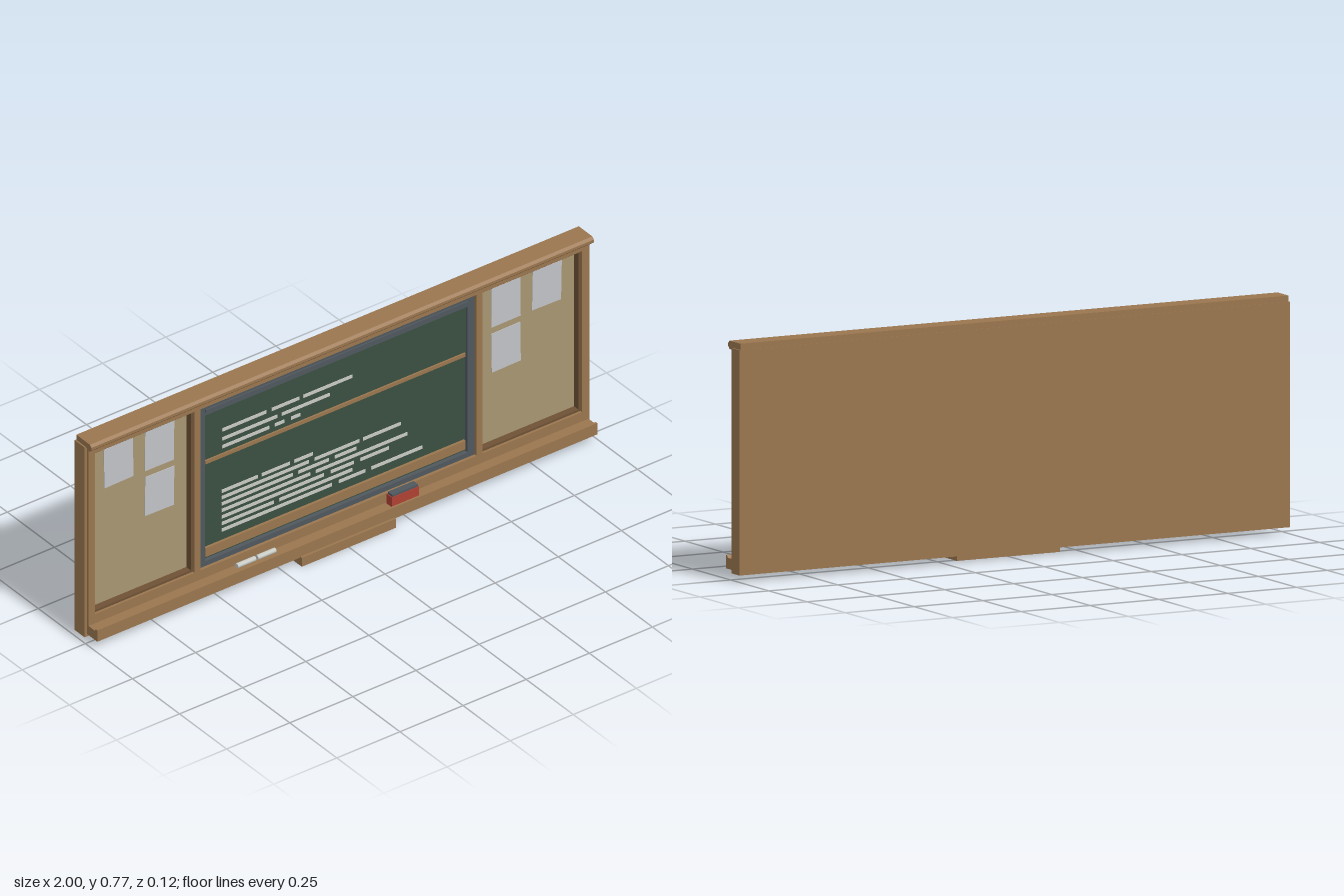
import * as THREE from 'three';

export function createModel() {
  const model = new THREE.Group();
  const mat = (name, color) => {
    const m = new THREE.MeshStandardMaterial({ color });
    m.name = name;
    return m;
  };
  const wood = mat('wood', 0x9a764e);
  const darkWood = mat('dark wood', 0x6e5236);
  const cork = mat('cork', 0xa89672);
  const slate = mat('green slate', 0x3a5040);
  const metal = mat('grey metal', 0x50585e);
  const paper = mat('paper', 0xc0c3c6);
  const chalk = mat('chalk', 0xc8cac4);
  const red = mat('red', 0xb04034);

  const add = (name, geometry, material, parent = model) => {
    const mesh = new THREE.Mesh(geometry, material);
    mesh.name = name;
    parent.add(mesh);
    return mesh;
  };
  // Box given by its limits on each axis
  const box = (name, x0, x1, y0, y1, z0, z1, material, parent) => {
    const mesh = add(name, new THREE.BoxGeometry(x1 - x0, y1 - y0, z1 - z0), material, parent);
    mesh.position.set((x0 + x1) / 2, (y0 + y1) / 2, (z0 + z1) / 2);
    return mesh;
  };
  const rect = (Type, x0, x1, y0, y1) => new Type().moveTo(x0, y0).lineTo(x1, y0).lineTo(x1, y1).lineTo(x0, y1).closePath();
  // Flat frame with rectangular openings
  const frame = (name, outer, holes, z0, z1, material) => {
    const shape = new THREE.Shape();
    rectInto(shape, outer);
    for (const h of holes) shape.holes.push(rectInto(new THREE.Path(), h));
    const g = new THREE.ExtrudeGeometry(shape, { depth: z1 - z0, bevelEnabled: false });
    g.translate(0, 0, z0);
    return add(name, g, material);
  };
  const rectInto = (path, [x0, x1, y0, y1]) => {
    path.moveTo(x0, y0);
    path.lineTo(x1, y0);
    path.lineTo(x1, y1);
    path.lineTo(x0, y1);
    path.closePath();
    return path;
  };
  // Moulding with a (z, y) profile, run along x
  const moulding = (name, profile, halfLength, material) => {
    const shape = new THREE.Shape(profile.map(([z, y]) => new THREE.Vector2(-z, y)));
    const g = new THREE.ExtrudeGeometry(shape, { depth: halfLength * 2, bevelEnabled: false });
    g.translate(0, 0, -halfLength);
    g.rotateY(Math.PI / 2);
    return add(name, g, material);
  };

  // Cabinet: solid back and a face frame with three openings
  const openings = [
    [-0.965, -0.57, 0.1, 0.715],
    [-0.547, 0.547, 0.1, 0.715],
    [0.57, 0.965, 0.1, 0.715],
  ];
  box('back', -1, 1, 0.022, 0.747, -0.057, -0.031, wood);
  frame('caseFrame', [-1, 1, 0.022, 0.747], openings, -0.031, -0.004, wood);
  frame('faceFrame', [-0.99, 0.99, 0.03, 0.743], openings, -0.004, 0.003, wood);

  // Cornice
  moulding('cornice', [
    [-0.055, 0.745], [0.002, 0.745], [0.002, 0.74], [0.016, 0.74],
    [0.025, 0.749], [0.025, 0.759], [0.017, 0.767], [-0.055, 0.767],
  ], 0.995, wood);

  // Pin boards with inner trim and sheets
  for (const side of [-1, 1]) {
    const [x0, x1, y0, y1] = openings[side + 1];
    box('pinBoard', x0, x1, y0, y1, -0.031, -0.03, cork);
    frame('pinBoardTrim', [x0, x1, y0, y1], [[x0 + 0.008, x1 - 0.008, y0 + 0.008, y1 - 0.008]], -0.03, -0.006, darkWood);
    for (const [x, y, tilt] of [[0.848, 0.615, -0.02], [0.686, 0.615, 0.01], [0.686, 0.443, 0.015]]) {
      const sheet = add('sheet', new THREE.BoxGeometry(0.115, 0.148, 0.002), paper);
      sheet.position.set(side * x, y, -0.028);
      sheet.rotation.z = side * tilt;
    }
  }

  // Chalkboard with its metal surround, sliding panels and wooden rails
  frame('boardSurround', [-0.547, 0.547, 0.1, 0.715], [[-0.52, 0.52, 0.118, 0.675]], -0.031, -0.008, metal);
  box('topTrack', -0.52, 0.52, 0.688, 0.698, -0.008, -0.003, metal);
  box('lowerPanel', -0.52, 0.52, 0.118, 0.5, -0.031, -0.022, slate);
  box('upperPanel', -0.52, 0.52, 0.49, 0.675, -0.031, -0.018, slate);
  box('middleRail', -0.515, 0.515, 0.484, 0.497, -0.022, -0.012, wood);
  box('bottomRail', -0.515, 0.515, 0.13, 0.163, -0.022, -0.012, wood);

  // Chalk strokes: height, then start and end of each stroke
  const lines = [
    [0.585, -0.445, -0.27, -0.25, -0.14, -0.125, 0.07],
    [0.551, -0.445, -0.227, -0.21, -0.02],
    [0.521, -0.445, -0.26, -0.237, -0.2, -0.173, -0.137],
    [0.348, -0.445, -0.302, -0.286, -0.174, -0.158, -0.083],
    [0.324, -0.445, -0.1, -0.077, 0.1, 0.115, 0.264],
    [0.3, -0.445, -0.163, -0.142, -0.02, 0.003, 0.088],
    [0.275, -0.445, -0.094, -0.072, 0.29],
    [0.25, -0.445, -0.04, -0.013, 0.078, 0.104, 0.217],
    [0.225, -0.445, -0.238, -0.217, 0.072],
    [0.2, -0.445, -0.008, 0.019, 0.125, 0.147, 0.35],
  ];
  for (const [y, ...ends] of lines) {
    const z = y > 0.5 ? -0.018 : -0.022;
    for (let i = 0; i < ends.length; i += 2)
      box('chalkStroke', ends[i], ends[i + 1], y - 0.006, y + 0.006, z, z + 0.002, chalk);
  }

  // Tray with a raised front lip, and the step below it
  moulding('tray', [
    [-0.003, 0.03], [0.05, 0.03], [0.05, 0.073], [0.042, 0.073], [0.036, 0.065], [-0.003, 0.065],
  ], 0.99, wood);
  box('step', -0.187, 0.187, 0, 0.034, -0.015, 0.059, wood);

  // Eraser and chalk sticks
  box('eraserBody', 0.187, 0.295, 0.065, 0.102, 0.008, 0.036, red);
  box('eraserFelt', 0.19, 0.292, 0.102, 0.11, 0.01, 0.034, metal);
  for (const x of [-0.38, -0.3]) {
    const stick = add('chalkStick', new THREE.CylinderGeometry(0.009, 0.009, 0.072, 10), chalk);
    stick.rotation.z = Math.PI / 2;
    stick.position.set(x, 0.074, 0.02);
  }

  return model;
}
